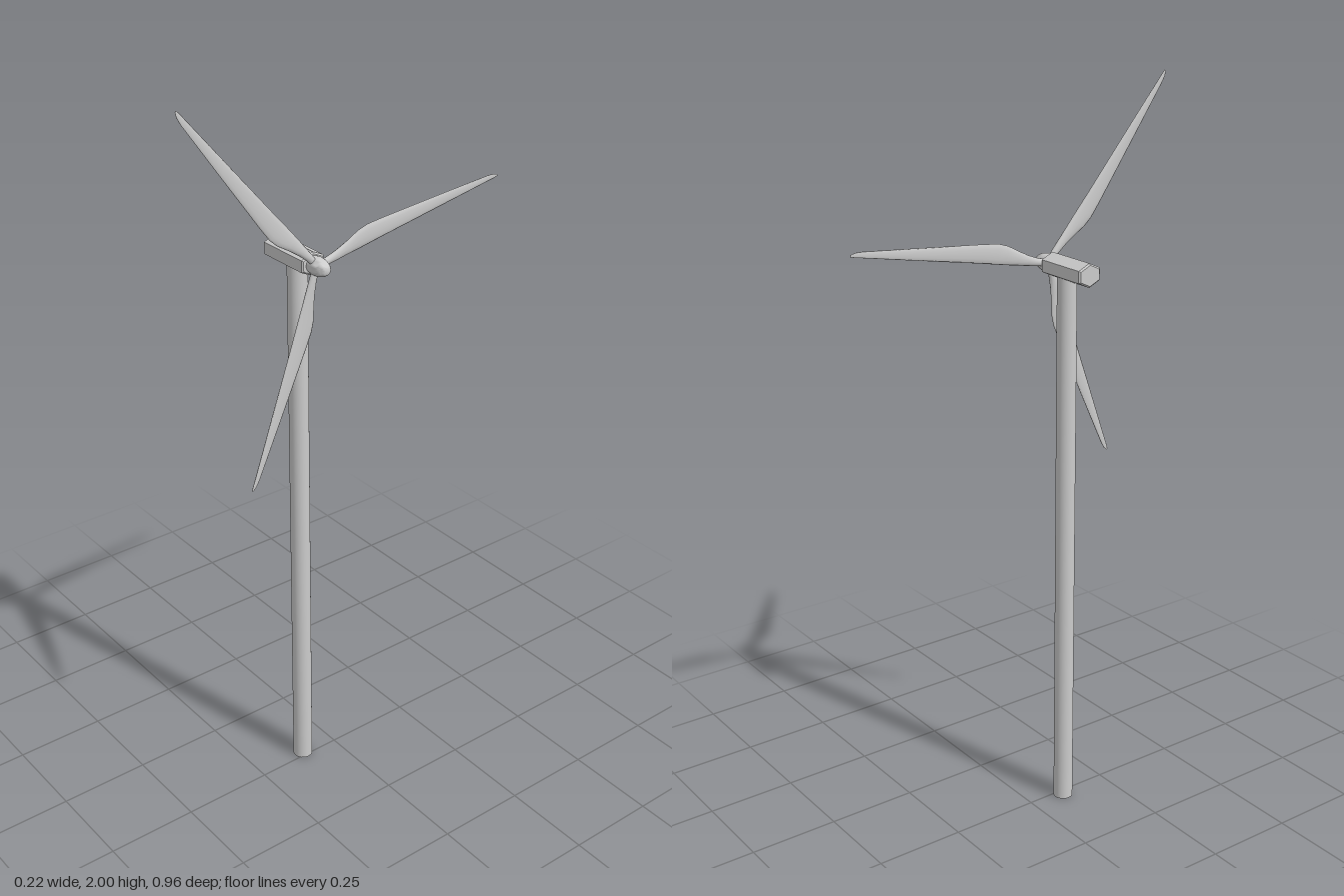
import * as THREE from 'three';
import { toCreasedNormals } from 'three/addons/utils/BufferGeometryUtils.js';

const HUB = new THREE.Vector3(0.063, 1.543, 0.102);
const material = new THREE.MeshStandardMaterial({ color: 0xcccccc });

function addMesh(parent, name, geometry) {
  const mesh = new THREE.Mesh(geometry, material);
  mesh.name = name;
  parent.add(mesh);
  return mesh;
}

// Blade lofted along -z from lens-shaped sections, chord along y
function bladeGeometry() {
  // [distance from hub, trailing edge, leading edge, half thickness]
  const stations = [
    [0.0, -0.009, 0.009, 0.008],
    [0.035, -0.01, 0.01, 0.008],
    [0.065, -0.0105, 0.016, 0.007],
    [0.1, -0.0105, 0.026, 0.006],
    [0.135, -0.0105, 0.038, 0.0055],
    [0.165, -0.01, 0.042, 0.005],
    [0.21, -0.009, 0.0395, 0.0045],
    [0.4, -0.0075, 0.0235, 0.003],
    [0.56, -0.006, 0.0095, 0.0015],
    [0.58, -0.006, 0.006, 0.001],
    [0.592, -0.005, 0.0, 0.0006],
  ];
  const sides = 12;
  const positions = [];
  const index = [];
  stations.forEach(([s, lo, hi, thick], i) => {
    for (let k = 0; k < sides; k++) {
      const t = (k / sides) * Math.PI * 2;
      positions.push(thick * Math.sin(t), (lo + hi) / 2 + ((hi - lo) / 2) * Math.cos(t), -s);
      if (i === stations.length - 1) continue;
      const a = i * sides + k;
      const a1 = i * sides + ((k + 1) % sides);
      index.push(a, a1, a + sides, a1, a1 + sides, a + sides);
    }
  });
  // Tip cap
  const last = (stations.length - 1) * sides;
  for (let k = 1; k < sides - 1; k++) index.push(last, last + k, last + k + 1);
  const geometry = new THREE.BufferGeometry();
  geometry.setAttribute('position', new THREE.Float32BufferAttribute(positions, 3));
  geometry.setIndex(index);
  geometry.computeVertexNormals();
  return geometry;
}

// Six-sided housing with a ridge on top and slightly bevelled ends
function nacelleGeometry() {
  const shape = new THREE.Shape();
  for (let i = 0; i < 6; i++) {
    const a = Math.PI / 2 + (i * Math.PI) / 3;
    const x = 0.0335 * Math.cos(a) / Math.cos(Math.PI / 6);
    const y = 0.0315 * Math.sin(a);
    if (i) shape.lineTo(x, y);
    else shape.moveTo(x, y);
  }
  const bevel = 0.004;
  const geometry = new THREE.ExtrudeGeometry(shape, {
    depth: 0.16 - 2 * bevel,
    bevelThickness: bevel,
    bevelSize: bevel,
    bevelOffset: -bevel,
    bevelSegments: 1,
  });
  geometry.translate(0, 0, bevel);
  geometry.rotateY(Math.PI / 2);
  return toCreasedNormals(geometry, 0.4);
}

// Bullet-shaped nose of the rotor, pointing +x
function spinnerGeometry() {
  const points = [new THREE.Vector2(0, -0.016), new THREE.Vector2(0.022, -0.016)];
  for (let i = 0; i <= 10; i++) {
    const a = (i / 10) * (Math.PI / 2);
    points.push(new THREE.Vector2(i === 10 ? 0 : 0.024 * Math.cos(a), 0.046 * Math.sin(a)));
  }
  const geometry = new THREE.LatheGeometry(points, 24);
  geometry.rotateZ(-Math.PI / 2);
  return toCreasedNormals(geometry, 0.7);
}

export function createModel() {
  const model = new THREE.Group();
  model.name = 'windTurbine';

  const towerHeight = 1.53;
  const tower = addMesh(model, 'tower', new THREE.CylinderGeometry(0.026, 0.027, towerHeight, 24));
  tower.position.set(-0.016, towerHeight / 2, HUB.z);

  const nacelle = addMesh(model, 'nacelle', nacelleGeometry());
  nacelle.position.set(-0.11, HUB.y, HUB.z);

  // Rotor with three blades
  const rotor = new THREE.Group();
  rotor.name = 'rotor';
  rotor.position.copy(HUB);
  model.add(rotor);
  addMesh(rotor, 'spinner', spinnerGeometry());
  const blade = bladeGeometry();
  for (let i = 0; i < 3; i++) {
    const mesh = addMesh(rotor, `blade${i + 1}`, blade);
    mesh.rotation.x = THREE.MathUtils.degToRad(10 + i * 120);
  }
  return model;
}
